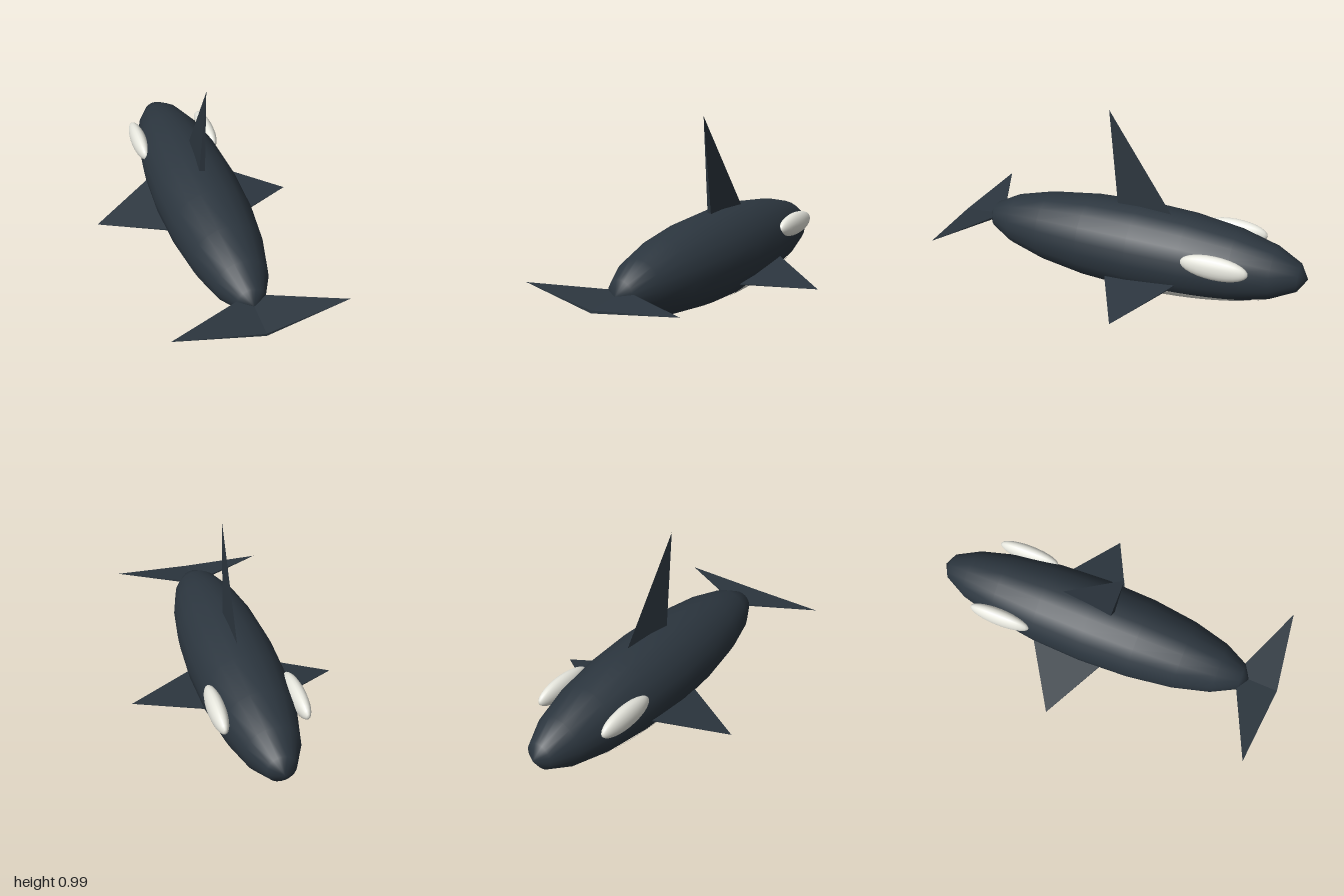
import * as THREE from 'three';
import { ConvexGeometry } from 'three/addons/geometries/ConvexGeometry.js';

const BODY = { y: 0.239, z: -0.085, radius: 0.238, half: 0.915 };

export function createModel() {
  const dark = new THREE.MeshStandardMaterial({ name: 'slate black', color: 0x2c363f });
  const white = new THREE.MeshStandardMaterial({ name: 'off white', color: 0xe8e8df });
  const whale = new THREE.Group();
  whale.name = 'whale';

  const add = (name, geometry, material) => {
    const mesh = new THREE.Mesh(geometry, material);
    mesh.name = name;
    whale.add(mesh);
    return mesh;
  };

  // Thin flat-sided fin: root points are doubled by a thickness in y, the tip is sharp
  const blade = (side, roots, tip, thickness) => {
    const points = roots.flatMap(([x, y, z]) => [-1, 1].map(
      (s) => new THREE.Vector3(side * x, y + s * thickness / 2, z)));
    points.push(new THREE.Vector3(side * tip[0], tip[1], tip[2]));
    return new ConvexGeometry(points);
  };

  // Body: long ellipsoid with its poles at nose and tail
  const body = new THREE.SphereGeometry(1, 20, 10);
  body.rotateX(Math.PI / 2);
  body.scale(BODY.radius, BODY.radius, BODY.half);
  body.translate(0, BODY.y, BODY.z);
  add('body', body, dark);

  add('belly', bellyGeometry(), white);

  // Dorsal fin, slightly twisted and leaning back
  add('dorsalFin', new ConvexGeometry([
    new THREE.Vector3(0.017, 0.44, -0.285),
    new THREE.Vector3(-0.018, 0.44, 0.02),
    new THREE.Vector3(0.012, 0.44, 0.032),
    new THREE.Vector3(0, 0.99, 0.085),
  ]), dark);

  for (const [label, side] of [['left', 1], ['right', -1]]) {
    // Eye patch
    const patch = new THREE.SphereGeometry(1, 20, 14);
    patch.rotateX(Math.PI / 2);
    patch.scale(0.044, 0.065, 0.176);
    const eye = add(label + 'EyePatch', patch, white);
    eye.position.set(side * 0.204, 0.32, -0.56);

    // Pectoral fin and tail fluke
    add(label + 'PectoralFin', blade(side,
      [[0.136, 0.187, -0.414], [0.132, 0.121, 0.07]], [0.555, 0.102, -0.145], 0.01), dark);
    add(label + 'Fluke', blade(side,
      [[0, 0.243, 0.75], [0, 0.222, 0.993]], [0.44, 0.267, 0.94], 0.014), dark);
  }
  return whale;
}

// Belly: thin patch just outside the lower front of the body
function bellyGeometry() {
  const rows = 36, columns = 20, front = -0.865, back = 0.02;
  const positions = [], normals = [], index = [];
  for (let i = 0; i <= rows; i++) {
    const z = front + (back - front) * i / rows;
    const t = (z - BODY.z) / BODY.half;
    const r = BODY.radius * Math.sqrt(1 - t * t);
    // The upper edge drops towards the rear
    const top = 0.115 - 0.05 * Math.max(0, (z + 0.09) / 0.11);
    const limit = Math.acos(Math.min(1, (BODY.y - top) / r));
    for (let j = 0; j <= columns; j++) {
      const a = limit * (2 * j / columns - 1);
      positions.push(Math.sin(a) * r * 1.006, BODY.y - Math.cos(a) * r * 1.004, z);
      const n = new THREE.Vector3(Math.sin(a) * r / BODY.radius ** 2,
        -Math.cos(a) * r / BODY.radius ** 2, t / BODY.half).normalize();
      normals.push(n.x, n.y, n.z);
      if (i < rows && j < columns) {
        const p = i * (columns + 1) + j, q = p + columns + 1;
        index.push(p, p + 1, q, p + 1, q + 1, q);
      }
    }
  }
  const geometry = new THREE.BufferGeometry();
  geometry.setAttribute('position', new THREE.Float32BufferAttribute(positions, 3));
  geometry.setAttribute('normal', new THREE.Float32BufferAttribute(normals, 3));
  geometry.setIndex(index);
  return geometry;
}
